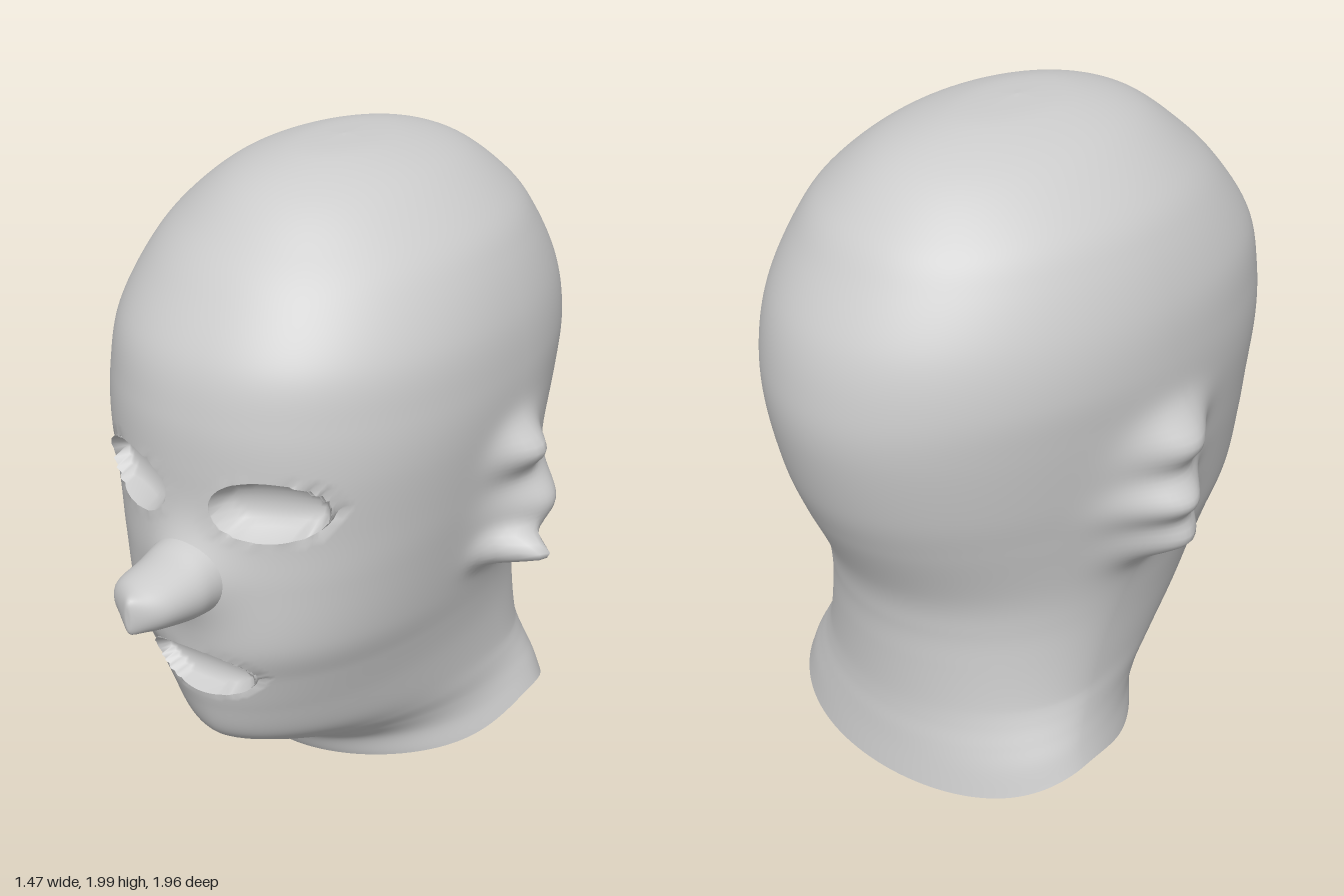
import * as THREE from 'three';

const skin = new THREE.MeshStandardMaterial({ color: 0xcccccc, side: THREE.DoubleSide });
skin.name = 'plain grey';
const CX = -0.03; // the head sits slightly off the middle because of the uneven ears

// Head cross-sections: height, half width, front z, back z, z of widest point, front roundness
const SECTIONS = [
  [0.01, 0.555, 0.16, -0.80, -0.46, 1.9],
  [0.10, 0.53, 0.22, -0.785, -0.45, 1.8],
  [0.17, 0.51, 0.35, -0.775, -0.42, 1.7],
  [0.24, 0.495, 0.49, -0.765, -0.38, 1.7],
  [0.32, 0.485, 0.60, -0.76, -0.34, 1.75],
  [0.45, 0.485, 0.65, -0.76, -0.28, 1.9],
  [0.57, 0.495, 0.68, -0.765, -0.22, 2.05],
  [0.70, 0.515, 0.71, -0.79, -0.17, 2.2],
  [0.90, 0.55, 0.705, -0.88, -0.13, 2.2],
  [1.05, 0.575, 0.695, -0.935, -0.12, 2.2],
  [1.25, 0.60, 0.70, -0.975, -0.12, 2.2],
  [1.40, 0.605, 0.69, -0.97, -0.15, 2.2],
  [1.55, 0.585, 0.65, -0.93, -0.15, 2.2],
  [1.70, 0.53, 0.55, -0.84, -0.15, 2.1],
  [1.81, 0.455, 0.445, -0.75, -0.15, 2.0],
  [1.925, 0.31, 0.29, -0.59, -0.14, 2.0],
  [1.985, 0.15, 0.10, -0.38, -0.12, 2.0],
  [2.0, 0, -0.12, -0.12, -0.12, 2.0],
];

// Sockets for eyes and mouth: centre x, centre y, radius x, radius y, depth
const SOCKETS = [
  [0.195, 1.155, 0.155, 0.095, 0.09],
  [-0.26, 1.155, 0.155, 0.095, 0.09],
  [-0.035, 0.59, 0.18, 0.088, 0.08],
];

// Ear lobes: side, y, z, spread y, spread z, height
const EARS = [
  [1, 0.97, -0.20, 0.22, 0.17, 0.05],
  [1, 1.15, -0.11, 0.07, 0.10, 0.09],
  [1, 0.95, -0.20, 0.09, 0.15, 0.09],
  [1, 0.83, -0.16, 0.08, 0.14, 0.06],
  [1, 0.83, -0.07, 0.05, 0.06, 0.15],
  [-1, 0.97, -0.19, 0.22, 0.17, 0.05],
  [-1, 1.15, -0.16, 0.08, 0.13, 0.09],
  [-1, 0.97, -0.19, 0.07, 0.14, 0.10],
  [-1, 0.82, -0.15, 0.08, 0.13, 0.12],
];

// Closed loops stacked into a smooth skin; keep() can leave faces out
function loft(rows, cols, point, keep = () => true) {
  const pts = [];
  const index = [];
  for (let i = 0; i <= rows; i++) {
    for (let j = 0; j < cols; j++) pts.push(point(i / rows, (j / cols) * Math.PI * 2));
  }
  const face = (a, b, c) => {
    if (keep(pts[a], pts[b], pts[c])) index.push(a, b, c);
  };
  for (let i = 0; i < rows; i++) {
    for (let j = 0; j < cols; j++) {
      const k = (j + 1) % cols;
      const a = i * cols + j, b = i * cols + k, c = a + cols, d = b + cols;
      face(a, b, d);
      face(a, d, c);
    }
  }
  const geo = new THREE.BufferGeometry().setFromPoints(pts);
  geo.setIndex(index);
  geo.computeVertexNormals();
  return geo;
}

// Smooth interpolation of a table, three columns at a time
const track = (table, ...cols) =>
  new THREE.CatmullRomCurve3(
    table.map((r) => new THREE.Vector3(...cols.map((c) => r[c]))), false, 'catmullrom', 0.5);

const socketRadius = ([cx, cy, rx, ry], p) => Math.hypot((p.x - cx) / rx, (p.y - cy) / ry);
const bell = (d) => Math.exp(-d * d);
const main = track(SECTIONS, 0, 1, 2);
const extra = track(SECTIONS, 3, 4, 5);

function headPoint(t, a) {
  const m = main.getPoint(t), e = extra.getPoint(t);
  const s = Math.sin(a), c = Math.cos(a);
  const power = c > 0 ? 2 / e.z : 1;
  const bend = (v) => Math.sign(v) * Math.abs(v) ** power;
  const p = new THREE.Vector3(
    CX + Math.max(m.y, 0) * bend(s),
    Math.min(m.x, 2),
    e.y + (c > 0 ? m.z - e.y : e.y - e.x) * bend(c));
  // ears
  for (const [side, y, z, ry, rz, h] of EARS) {
    if (side * s > 0) p.x += side * h * bell(Math.hypot((p.y - y) / ry, (p.z - z) / rz));
  }
  // soft bridge and root of the nose
  if (c > 0) p.z += 0.075 * bell(Math.hypot((p.x - CX) / 0.13, (p.y - 0.93) / 0.13));
  // neck rim rises at the sides
  p.y += 0.085 * bell((p.z + 0.45) / 0.22) * Math.max(0, 1 - p.y / 0.3);
  // pull nearby points onto the edge of each socket, sink the points inside it
  if (p.z > 0.2) {
    for (const socket of SOCKETS) {
      const r = socketRadius(socket, p);
      if (Math.abs(r - 1) < 0.12) {
        p.x = socket[0] + (p.x - socket[0]) / r;
        p.y = socket[1] + (p.y - socket[1]) / r;
      } else if (r < 1) {
        p.z -= socket[4] * Math.sqrt(1 - r * r);
      }
    }
  }
  return p;
}

const inSocket = (...corners) =>
  corners[0].z > 0.2 && SOCKETS.some((s) => corners.every((p) => socketRadius(s, p) < 1.01));

// Long nose: z, centre x, centre y, radius x, radius y
function noseGeometry() {
  const rings = [
    [0.66, -0.03, 0.93, 0.135, 0.13],
    [0.74, -0.032, 0.925, 0.125, 0.115],
    [0.80, -0.035, 0.92, 0.12, 0.10],
    [0.89, -0.045, 0.92, 0.105, 0.08],
    [0.94, -0.035, 0.92, 0.065, 0.065],
    [0.98, -0.03, 0.92, 0.018, 0.05],
    [0.985, -0.03, 0.92, 0, 0],
  ];
  const shape = track(rings, 0, 1, 2);
  const size = track(rings, 3, 4, 0);
  return loft(30, 40, (t, a) => {
    const c = shape.getPoint(t), r = size.getPoint(t);
    return new THREE.Vector3(c.y + r.x * Math.cos(a), c.z + r.y * Math.sin(a), Math.min(c.x, 0.985));
  });
}

export function createModel() {
  const group = new THREE.Group();
  group.name = 'headMask';
  const add = (name, geo) => {
    const mesh = new THREE.Mesh(geo, skin);
    mesh.name = name;
    group.add(mesh);
  };
  add('headShell', loft(170, 240, headPoint, (...corners) => !inSocket(...corners)));
  add('eyeAndMouthSockets', loft(170, 240, headPoint, inSocket));
  add('nose', noseGeometry());
  return group;
}
